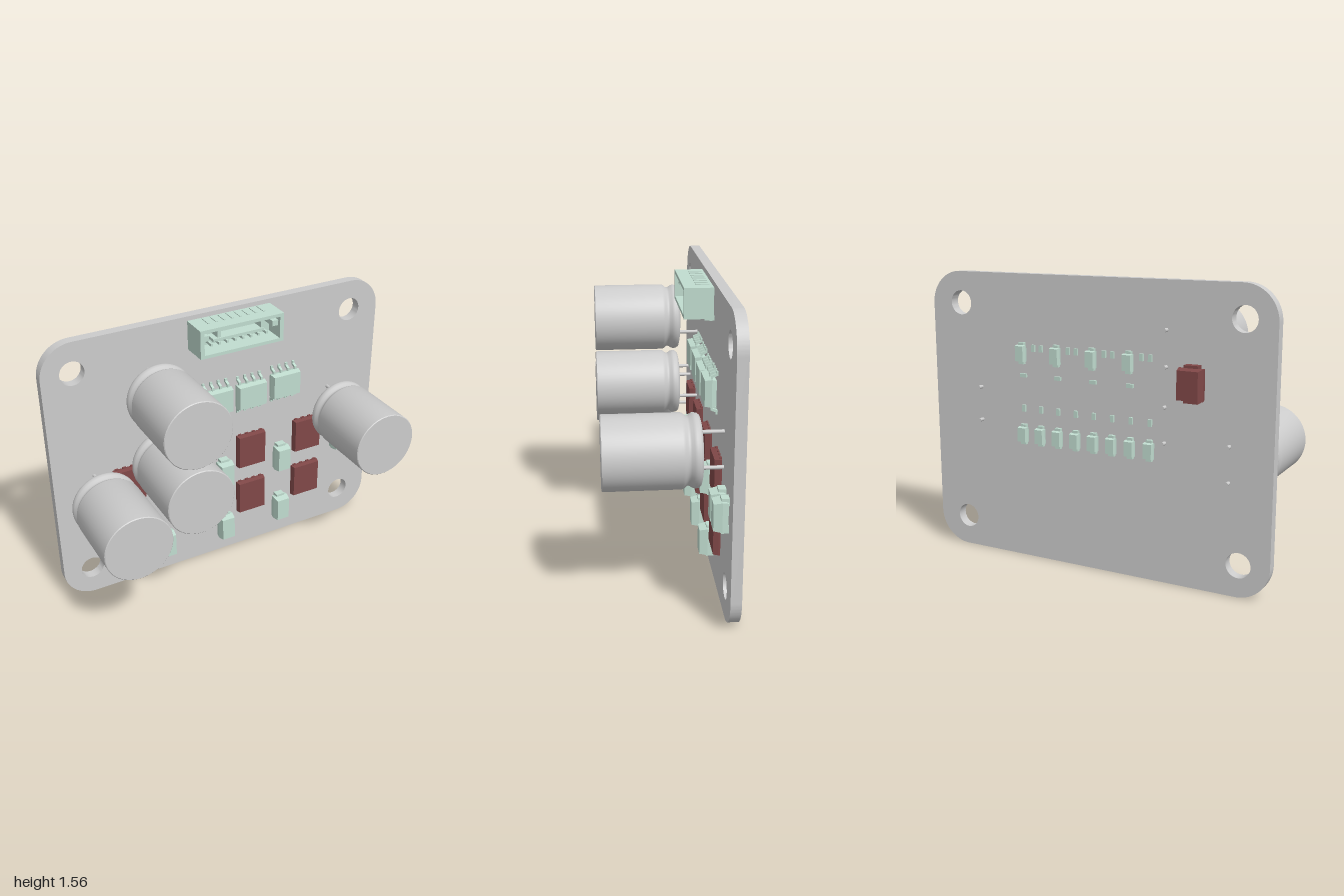
import * as THREE from 'three';
import { toCreasedNormals } from 'three/addons/utils/BufferGeometryUtils.js';

const grey = new THREE.MeshStandardMaterial({ color: 0xcccccc });
const green = new THREE.MeshStandardMaterial({ color: 0xc0dccf });
const red = new THREE.MeshStandardMaterial({ color: 0x804848 });
const FRONT = -0.225, BACK = -0.28;

function add(parent, name, geo, mat, x = 0, y = 0, z = 0) {
  const m = new THREE.Mesh(geo, mat);
  m.name = name;
  m.position.set(x, y, z);
  parent.add(m);
  return m;
}

// Box spanning z0..z1, centred in x and y
function slab(parent, name, mat, x, y, w, h, z0, z1) {
  return add(parent, name, new THREE.BoxGeometry(w, h, z1 - z0), mat, x, y, (z0 + z1) / 2);
}

// Moulded body: rectangular rings [z, width, height] joined by sloping walls
function moulded(rings) {
  const pos = [];
  const ring = ([z, w, h]) => [[-1, -1], [1, -1], [1, 1], [-1, 1]].map(([a, b]) => [a * w / 2, b * h / 2, z]);
  const quad = (a, b, c, d) => pos.push(...a, ...b, ...c, ...a, ...c, ...d);
  const r = rings.map(ring);
  for (let i = 0; i + 1 < r.length; i++)
    for (let j = 0; j < 4; j++) {
      const k = (j + 1) % 4;
      quad(r[i][j], r[i][k], r[i + 1][k], r[i + 1][j]);
    }
  quad(...r[r.length - 1]);
  quad(...r[0].slice().reverse());
  const g = new THREE.BufferGeometry();
  g.setAttribute('position', new THREE.Float32BufferAttribute(pos, 3));
  g.computeVertexNormals();
  return g;
}

// Group on the board, its local +z pointing away from the board face
function place(parent, name, x, y, onBack = false) {
  const g = new THREE.Group();
  g.name = name;
  g.position.set(x, y, onBack ? BACK : FRONT);
  if (onBack) g.rotation.y = Math.PI;
  parent.add(g);
  return g;
}

// Gull-wing lead running out along dir * y, from yIn to yOut
function gullLead(parent, x, dir, yIn, yOut, w, top) {
  const s = new THREE.Shape(), t = 0.01, m = (yIn + yOut) / 2;
  [[yIn, top], [m, top], [m + t, t], [yOut, t], [yOut, 0], [m, 0], [m - t, top - t], [yIn, top - t]]
    .forEach(([y, z], i) => (i ? s.lineTo(y * dir, z) : s.moveTo(y * dir, z)));
  const g = new THREE.ExtrudeGeometry(s, { depth: w, bevelEnabled: false });
  g.translate(0, 0, -w / 2);
  // shape (y, z, x) order turned to (x, y, z)
  g.applyMatrix4(new THREE.Matrix4().set(0, 0, 1, 0, 1, 0, 0, 0, 0, 1, 0, 0, 0, 0, 0, 1));
  add(parent, 'lead', g, green, x);
}

function makeBoard(root) {
  const s = new THREE.Shape(), r = 0.18, h = 1.56;
  s.absarc(1 - r, r, r, -Math.PI / 2, 0);
  s.absarc(1 - r, h - r, r, 0, Math.PI / 2);
  s.absarc(-1 + r, h - r, r, Math.PI / 2, Math.PI);
  s.absarc(-1 + r, r, r, Math.PI, Math.PI * 1.5);
  for (const x of [-0.834, 0.813])
    for (const y of [0.168, 1.39])
      s.holes.push(new THREE.Path().absarc(x, y, 0.066, 0, Math.PI * 2, true));
  const g = new THREE.ExtrudeGeometry(s, { depth: FRONT - BACK, bevelEnabled: false, curveSegments: 20 });
  add(root, 'board', toCreasedNormals(g, 0.6), grey, 0, 0, BACK);
}

function makeCapacitor(root, x, y) {
  const g = new THREE.Group();
  g.name = 'capacitor';
  g.position.set(x, y, 0);
  const profile = [[0, -0.11], [0.155, -0.11], [0.17, -0.106], [0.179, -0.095], [0.182, -0.08], [0.178, -0.066],
    [0.169, -0.054], [0.167, -0.045], [0.17, -0.036], [0.18, -0.026], [0.184, -0.014], [0.184, 0.361], [0.18, 0.365], [0, 0.365]]
    .map(([r, z]) => new THREE.Vector2(r, z));
  const can = new THREE.LatheGeometry(profile, 56).rotateX(Math.PI / 2);
  add(g, 'can', toCreasedNormals(can, 0.7), grey);
  for (const s of [-1, 1])
    add(g, 'capacitorLead', new THREE.CylinderGeometry(0.01, 0.01, 0.21, 12).rotateX(Math.PI / 2), grey, 0, s * 0.092, -0.205);
  root.add(g);
}

function makeConnector(root) {
  const g = place(root, 'connector', 0.046, 1.46);
  const rect = (S, x0, y0, x1, y1) => {
    const p = new S();
    p.moveTo(x0, y0); p.lineTo(x1, y0); p.lineTo(x1, y1); p.lineTo(x0, y1); p.closePath();
    return p;
  };
  // Open shell, floor and inner ledges
  const shell = rect(THREE.Shape, -0.245, -0.08, 0.245, 0.078);
  shell.holes.push(rect(THREE.Path, -0.222, -0.062, 0.222, 0.06));
  add(g, 'connectorShell', new THREE.ExtrudeGeometry(shell, { depth: 0.15, bevelEnabled: false }), green, 0, 0, 0.005);
  slab(g, 'connectorFloor', green, 0, 0, 0.46, 0.14, 0.005, 0.04);
  for (const s of [-1, 1]) {
    slab(g, 'innerPost', green, s * 0.128, 0.038, 0.02, 0.05, 0.04, 0.135);
    slab(g, 'innerPost', green, s * 0.205, 0.02, 0.035, 0.03, 0.04, 0.135);
    slab(g, 'mountingFoot', green, s * 0.215, -0.078, 0.05, 0.02, 0, 0.05);
  }
  slab(g, 'innerLedge', green, 0, -0.012, 0.3, 0.015, 0.04, 0.11);
  for (let i = 0; i < 8; i++) {
    const x = (i - 3.5) * 0.0465;
    slab(g, 'pin', green, x, -0.03, 0.012, 0.014, 0.04, 0.12);
    slab(g, 'solderTail', green, x, -0.09, 0.01, 0.04, 0, 0.015);
    slab(g, 'topRib', green, x, 0.079, 0.012, 0.006, 0.02, 0.09);
  }
}

function makeDriverChip(root, x, y) {
  const g = place(root, 'driverChip', x, y);
  add(g, 'chipBody', moulded([[0.008, 0.165, 0.13], [0.032, 0.18, 0.145], [0.067, 0.168, 0.133]]), green);
  for (let i = 0; i < 4; i++)
    for (const d of [-1, 1]) gullLead(g, (i - 1.5) * 0.046, d, 0.068, 0.112, 0.014, 0.036);
}

function makeTransistor(root, x, y) {
  const g = place(root, 'transistor', x, y);
  add(g, 'transistorBody', moulded([[0, 0.178, 0.205], [0.01, 0.178, 0.205], [0.036, 0.168, 0.198]]), red);
  for (let i = 0; i < 4; i++)
    for (const d of [-1, 1]) slab(g, 'transistorLead', red, (i - 1.5) * 0.045, d * 0.103, 0.02, 0.012, 0, 0.01);
}

// Two-terminal part with wrap-round tabs; size is [w, h, depth]
function makeDiode(root, name, x, y, [w, h, d], mat, onBack) {
  const g = place(root, name, x, y, onBack);
  add(g, 'diodeBody', moulded([[0.006, w * 0.92, h * 0.94], [d * 0.45, w, h], [d, w * 0.86, h * 0.9]]), mat);
  for (const s of [-1, 1]) {
    slab(g, 'tab', mat, 0, s * (h / 2 + 0.004), w * 0.58, 0.018, 0, d * 0.5);
    slab(g, 'tabFoot', mat, 0, s * h * 0.42, w * 0.58, h * 0.16, 0, 0.007);
  }
}

function makeChipResistor(root, x, y, w, h) {
  const g = place(root, 'chipResistor', x, y, true);
  slab(g, 'resistorBody', green, 0, 0, w, h, 0, 0.014);
}

export function createModel() {
  const root = new THREE.Group();
  root.name = 'circuitBoard';
  makeBoard(root);
  makeConnector(root);
  for (const [x, y] of [[-0.43, 1.223], [-0.425, 0.836], [-0.772, 0.676], [0.692, 0.84]]) makeCapacitor(root, x, y);
  for (const [x, y] of [[-0.27, 1.04], [-0.048, 1.04], [0.162, 1.033], [0.38, 1.045]]) makeDriverChip(root, x, y);

  // Front power stage
  for (const x of [-0.58, -0.203, 0.175, 0.55])
    for (const y of [0.347, 0.662]) makeTransistor(root, x, y);
  for (const [x, y] of [[-0.387, 0.553], [-0.387, 0.2], [-0.005, 0.56], [-0.005, 0.19], [0.37, 0.557], [0.37, 0.203],
    [0.77, 0.588], [0.877, 0.588]])
    makeDiode(root, 'diode', x, y, [0.09, 0.152, 0.077], green, false);

  // Back face parts
  makeDiode(root, 'inputDiode', -0.58, 1.062, [0.13, 0.162, 0.085], red, true);
  for (let i = 0; i < 8; i++) {
    const x = 0.41 - i * 0.108;
    makeDiode(root, 'smallDiode', x, 0.698, [0.055, 0.085, 0.042], green, true);
    makeChipResistor(root, x, 0.84, 0.02, 0.036);
  }
  for (let i = 0; i < 4; i++) {
    const x = 0.415 - i * 0.214;
    makeDiode(root, 'smallDiode', x, 1.14, [0.055, 0.09, 0.042], green, true);
    makeChipResistor(root, x - 0.005, 1.02, 0.038, 0.02);
    for (const dx of [0.07, 0.118]) makeChipResistor(root, x - dx, 1.17, 0.02, 0.036);
  }
  return root;
}
